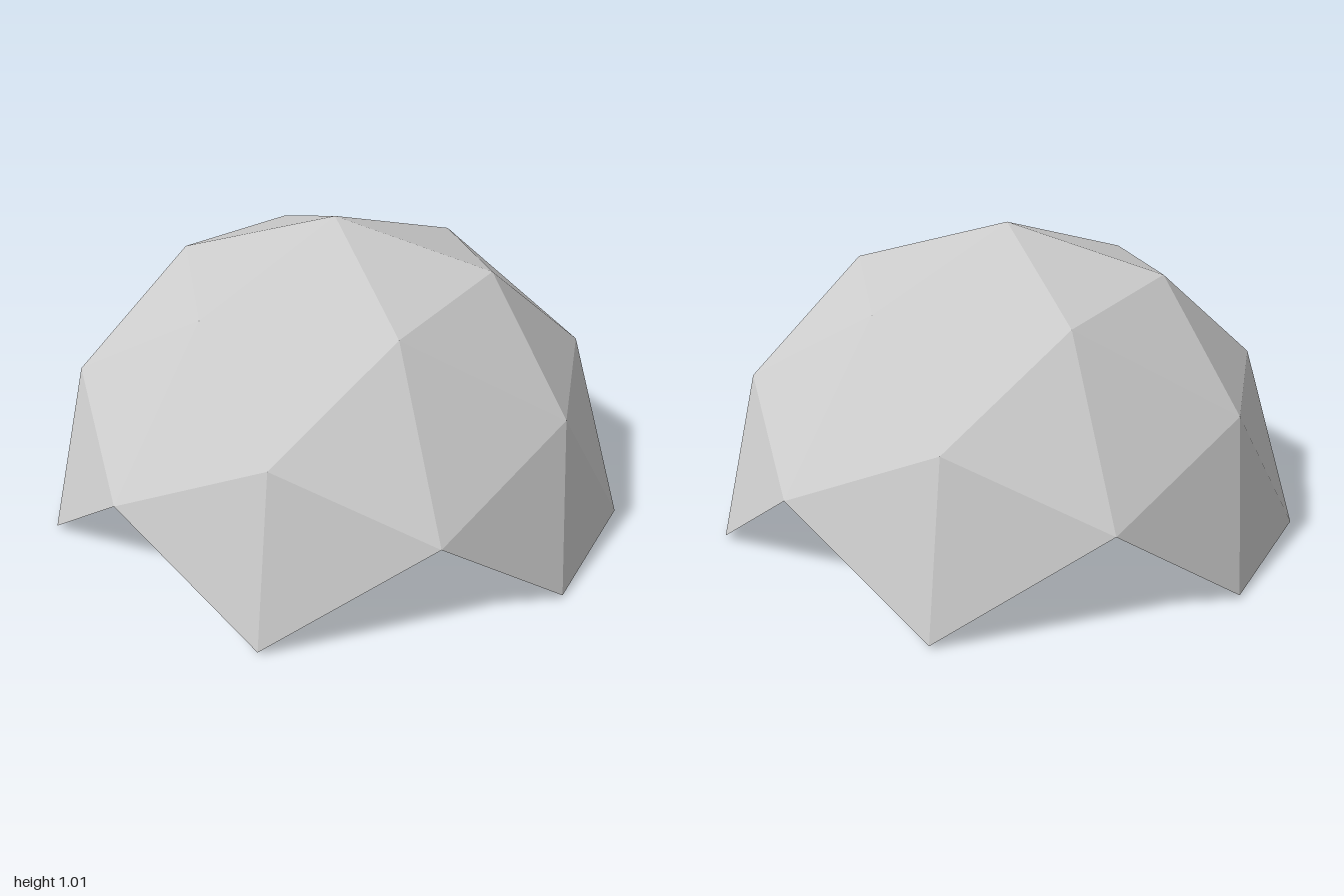
import * as THREE from 'three';

const LIFT = 0.01;

// Geodesic shell: split icosahedron turned about y, keeping only faces wholly above the equator
function domeGeometry() {
  const source = new THREE.IcosahedronGeometry(1, 1);
  source.rotateY(Math.atan(2 / (1 + Math.sqrt(5))));
  const p = source.attributes.position;
  const kept = [];
  for (let i = 0; i < p.count; i += 3) {
    if (Math.min(p.getY(i), p.getY(i + 1), p.getY(i + 2)) < -0.001) continue;
    for (let k = i; k < i + 3; k++) kept.push(p.getX(k), p.getY(k), p.getZ(k));
  }
  const geometry = new THREE.BufferGeometry();
  geometry.setAttribute('position', new THREE.Float32BufferAttribute(kept, 3));
  geometry.computeVertexNormals();
  return geometry;
}

// Extrudes a (z, y) side profile across x, centred on x = 0
function sideExtrude(profile, width) {
  const shape = new THREE.Shape(profile.map(([z, y]) => new THREE.Vector2(-z, y)));
  const geometry = new THREE.ExtrudeGeometry(shape, { depth: width, bevelEnabled: false });
  geometry.translate(0, 0, -width / 2);
  geometry.rotateY(Math.PI / 2);
  return geometry;
}

export function createModel() {
  const model = new THREE.Group();
  const grey = new THREE.MeshStandardMaterial({ color: 0xcccccc, flatShading: true, side: THREE.DoubleSide });
  grey.name = 'lightGrey';

  const dome = new THREE.Mesh(domeGeometry(), grey);
  dome.name = 'domeShell';
  dome.position.y = LIFT;
  model.add(dome);

  // Tiny block on the floor under the dome
  const floorItem = new THREE.Group();
  floorItem.name = 'floorItem';
  const body = new THREE.Mesh(sideExtrude([
    [0.12, 0.01], [0.108, 0.057], [0.07, 0.06], [0.032, 0.032], [0.04, 0.014], [0.07, 0],
  ], 0.04), grey);
  body.name = 'itemBody';
  const knob = new THREE.Mesh(new THREE.BoxGeometry(0.014, 0.016, 0.025), grey);
  knob.name = 'itemKnob';
  knob.position.set(0, 0.064, 0.09);
  floorItem.add(body, knob);
  model.add(floorItem);

  return model;
}
